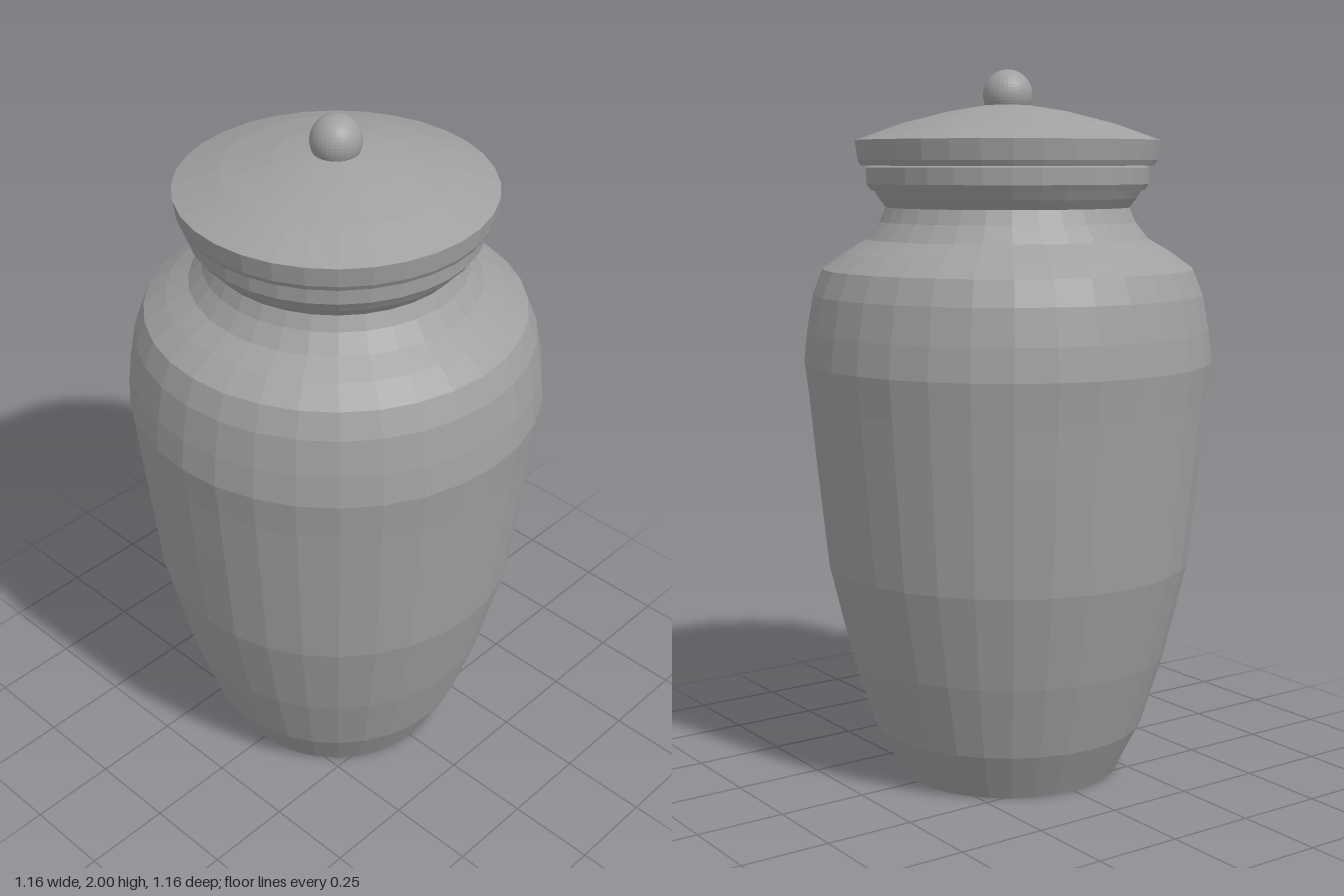
import * as THREE from 'three';

const SIDES = 32;

// Spins [radius, height] pairs, listed from bottom to top, around the y axis
function turned(name, profile, material) {
  const points = profile.map(([r, y]) => new THREE.Vector2(r, y));
  const mesh = new THREE.Mesh(new THREE.LatheGeometry(points, SIDES), material);
  mesh.name = name;
  return mesh;
}

export function createModel() {
  const model = new THREE.Group();
  model.name = 'lidded urn';

  const greyFaceted = new THREE.MeshStandardMaterial({ color: 0xa0a0a0, flatShading: true });
  greyFaceted.name = 'grey stoneware';

  // Body: closed foot, swelling belly, rounded shoulder and pinched neck
  model.add(turned('body', [
    [0, 0], [0.318, 0], [0.39, 0.14], [0.455, 0.35], [0.518, 0.615],
    [0.55, 0.92], [0.565, 1.08], [0.578, 1.19], [0.568, 1.28], [0.55, 1.38],
    [0.522, 1.45], [0.46, 1.495], [0.397, 1.532], [0.36, 1.58], [0.343, 1.62],
  ], greyFaceted));

  // Flared collar at the mouth
  model.add(turned('collar', [
    [0.343, 1.62], [0.362, 1.645], [0.378, 1.672], [0, 1.672],
  ], greyFaceted));

  // Ring under the lid, with dark undercuts above and below
  model.add(turned('rim', [
    [0.34, 1.668], [0.385, 1.668], [0.396, 1.685], [0.398, 1.73], [0.38, 1.737], [0.38, 1.745],
  ], greyFaceted));

  // Overhanging lid with a shallow dome
  model.add(turned('lid', [
    [0.36, 1.735], [0.412, 1.735], [0.42, 1.75], [0.428, 1.805],
    [0.303, 1.85], [0.165, 1.885], [0.06, 1.902], [0, 1.902],
  ], greyFaceted));

  // Round knob
  const knob = new THREE.Mesh(new THREE.SphereGeometry(0.069, 32, 24), greyFaceted);
  knob.name = 'knob';
  knob.position.y = 1.931;
  model.add(knob);

  return model;
}
